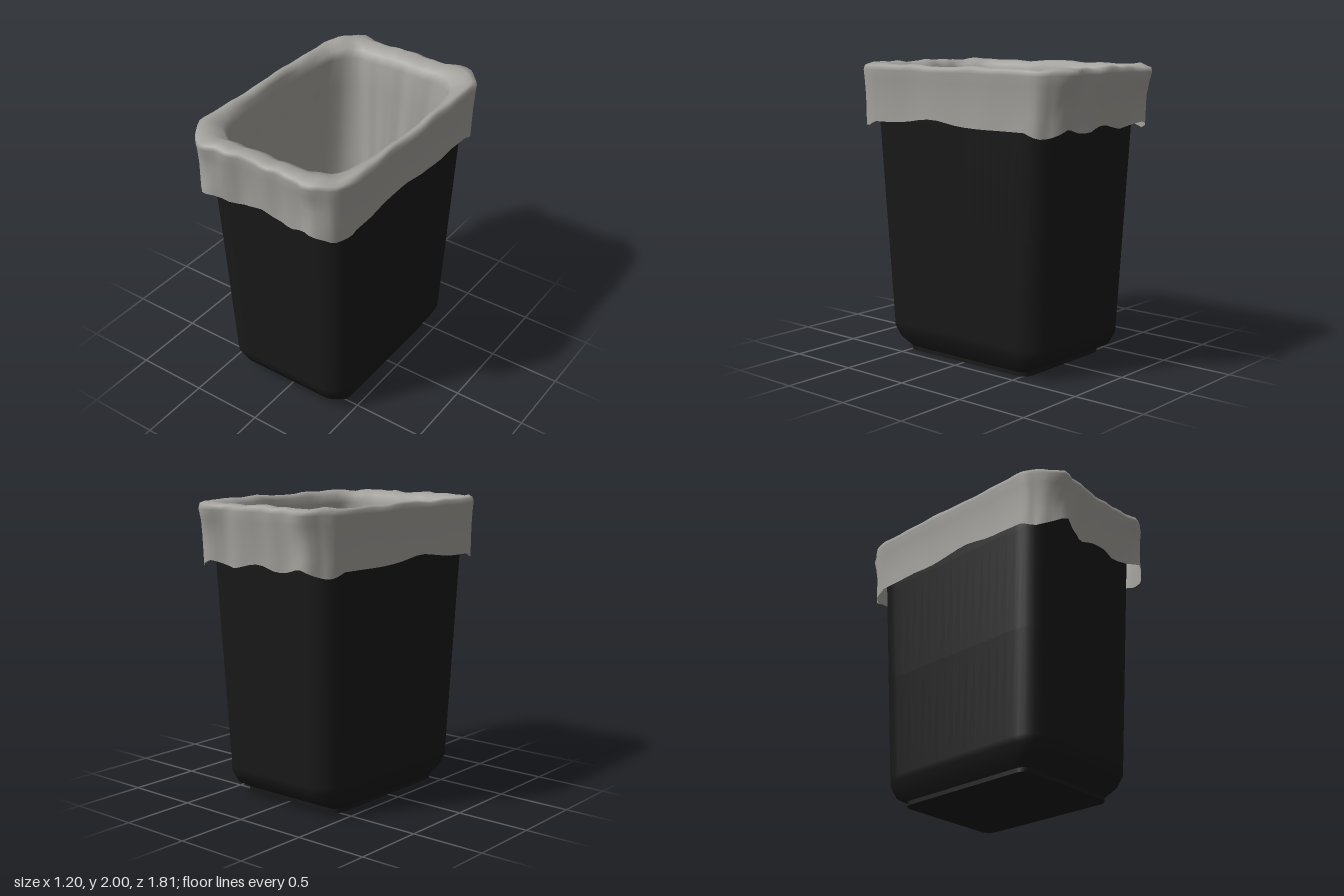
import * as THREE from 'three';

const EDGE = 16, CORNER = 8;

// Rounded rectangle as points with outward normals and a lap angle u
function ring(hx, hz, r) {
  const pts = [];
  const cx = hx - r, cz = hz - r;
  const corners = [[cx, cz], [-cx, cz], [-cx, -cz], [cx, -cz]];
  for (let q = 0; q < 4; q++) {
    const c = corners[q], next = corners[(q + 1) % 4];
    for (let i = 0; i <= CORNER; i++) {
      const a = (q + i / CORNER) * Math.PI / 2;
      pts.push({ x: c[0] + r * Math.cos(a), z: c[1] + r * Math.sin(a), nx: Math.cos(a), nz: Math.sin(a) });
    }
    const a = (q + 1) * Math.PI / 2, nx = Math.cos(a), nz = Math.sin(a);
    for (let i = 1; i < EDGE; i++) {
      const t = i / EDGE;
      pts.push({
        x: c[0] + (next[0] - c[0]) * t + r * nx,
        z: c[1] + (next[1] - c[1]) * t + r * nz, nx, nz
      });
    }
  }
  pts.forEach((p, j) => { p.u = j / pts.length * Math.PI * 2; });
  return pts;
}

// Skin a stack of rings, optionally closing the last; bend() may move each point
function loft(levels, { bend, capEnd = false } = {}) {
  const pos = [], idx = [];
  let n = 0;
  levels.forEach((level, k) => {
    const pts = ring(level[1], level[2], level[3]);
    n = pts.length;
    for (const p of pts) {
      const v = { x: p.x, y: level[0], z: p.z };
      if (bend) bend(v, p, level, k);
      pos.push(v.x, v.y, v.z);
    }
  });
  for (let k = 0; k < levels.length - 1; k++) {
    for (let j = 0; j < n; j++) {
      const a = k * n + j, b = k * n + (j + 1) % n;
      idx.push(a, a + n, b, b, a + n, b + n);
    }
  }
  if (capEnd) {
    const centre = pos.length / 3, start = centre - n;
    let height = 0;
    for (let j = 0; j < n; j++) height += pos[(start + j) * 3 + 1] / n;
    pos.push(0, height, 0);
    for (let j = 0; j < n; j++) idx.push(centre, start + (j + 1) % n, start + j);
  }
  const g = new THREE.BufferGeometry();
  g.setAttribute('position', new THREE.Float32BufferAttribute(pos, 3));
  g.setIndex(idx);
  g.computeVertexNormals();
  return g;
}

// Periodic crumple, roughly -1..1
const crumple = (u, s) =>
  0.4 * Math.sin(9 * u + s) + 0.35 * Math.sin(17 * u + 2.3 * s + 1) + 0.25 * Math.sin(29 * u - s);

const bump = (d, width) => Math.exp(-((d / width) ** 2));

export function createModel() {
  const binBlack = new THREE.MeshStandardMaterial({ color: 0x191919, side: THREE.DoubleSide });
  binBlack.name = 'binBlack';
  const linerGrey = new THREE.MeshStandardMaterial({ color: 0xa4a29d, side: THREE.DoubleSide });
  linerGrey.name = 'linerGrey';

  const model = new THREE.Group();
  model.name = 'linedWasteBin';
  const add = (name, geometry, material) => {
    const mesh = new THREE.Mesh(geometry, material);
    mesh.name = name;
    model.add(mesh);
    return mesh;
  };

  // Levels are [y, half width, half depth, corner radius]
  const body = add('binBody', loft([
    [0.028, 0.414, 0.53, 0.07], [0.085, 0.453, 0.642, 0.14], [0.16, 0.488, 0.686, 0.18],
    [0.2, 0.49, 0.689, 0.185], [0.9, 0.514, 0.722, 0.185], [1.6, 0.538, 0.755, 0.185],
    [1.94, 0.55, 0.77, 0.185], [1.94, 0.535, 0.755, 0.175], [1.7, 0.527, 0.745, 0.175]
  ]), binBlack);

  // Foot and underside
  const foot = add('binFoot', loft([[0, 0.412, 0.53, 0.07], [0.03, 0.412, 0.53, 0.07]]), binBlack);
  const base = add('binBase', loft([[0, 0.001, 0.001, 0.0005], [0, 0.412, 0.53, 0.07]]), binBlack);
  for (const part of [body, foot, base]) part.position.z = -0.005;

  // Liner: hem, skirt, rim, then the bag inside; extra values are pleat depth, corner flare, height ripple
  const linerLevels = [
    [1.6, 0.573, 0.825, 0.18, 0.02, 0.06, 0],
    [1.68, 0.573, 0.83, 0.18, 0.019, 0.045, 0],
    [1.78, 0.576, 0.84, 0.19, 0.017, 0.025, 0],
    [1.88, 0.584, 0.855, 0.21, 0.016, 0.025, 0],
    [1.945, 0.594, 0.865, 0.23, 0.016, 0.04, 0.004],
    [1.974, 0.591, 0.86, 0.23, 0.016, 0.035, 0.008],
    [1.987, 0.569, 0.83, 0.22, 0.008, 0, 0.011],
    [1.98, 0.543, 0.775, 0.2, 0.006, 0, 0.008],
    [1.955, 0.524, 0.725, 0.19, 0.008, 0, 0.008],
    [1.9, 0.51, 0.695, 0.19, 0.01, 0, 0],
    [1.7, 0.505, 0.685, 0.21, 0.012, 0, 0],
    [1.3, 0.488, 0.655, 0.24, 0.014, 0, 0],
    [0.9, 0.46, 0.615, 0.27, 0.016, 0, 0],
    [0.55, 0.42, 0.56, 0.3, 0.014, 0, 0],
    [0.36, 0.36, 0.49, 0.29, 0.008, 0, 0],
    [0.27, 0.28, 0.38, 0.225, 0, 0, 0],
    [0.22, 0.18, 0.245, 0.145, 0, 0, 0],
    [0.2, 0.08, 0.11, 0.065, 0, 0, 0]
  ];
  const RIM_INNER = 8, FLOOR = 13;
  const bend = (v, p, level, k) => {
    const [, , , , pleat, flare, ripple] = level;
    const ends = Math.abs(p.nz);
    // Pleats are deepest on the short ends, and the corners flare out less at the back hem
    const nearCorner = bump(Math.abs(p.x) - 0.4, 0.08) * ends;
    const backTuck = k < 3 && p.z < 0 ? 0.4 : 1;
    const push = pleat * crumple(p.u, 0.6 + 0.12 * k) * (0.4 + 0.6 * ends) + flare * backTuck * nearCorner;
    v.x += p.nx * push;
    v.z += p.nz * push;
    v.y += ripple * crumple(p.u, 2 + 0.1 * k);
    // The hem waves along the ends, droops at the corners and lifts on the long sides
    if (k === 0) {
      v.y -= 0.018 * ends * Math.cos(5 * Math.PI * (p.x + 0.2));
      v.y -= 0.06 * Math.abs(p.nx * p.nz);
      v.y += 0.038 * Math.abs(p.nx) * bump(p.z - 0.14, 0.2);
    }
    // The bag mouth bows out along the long sides
    if (k >= RIM_INNER) v.x *= 1 - 0.13 * (p.z / 0.7) ** 2;
    // A soft crease and lumps in the bag floor
    if (k >= FLOOR) v.y += 0.03 * Math.sin(7 * p.z + 1) - 0.04 * bump(p.x - 0.12, 0.09);
  };
  add('binLiner', loft(linerLevels, { bend, capEnd: true }), linerGrey);

  return model;
}
